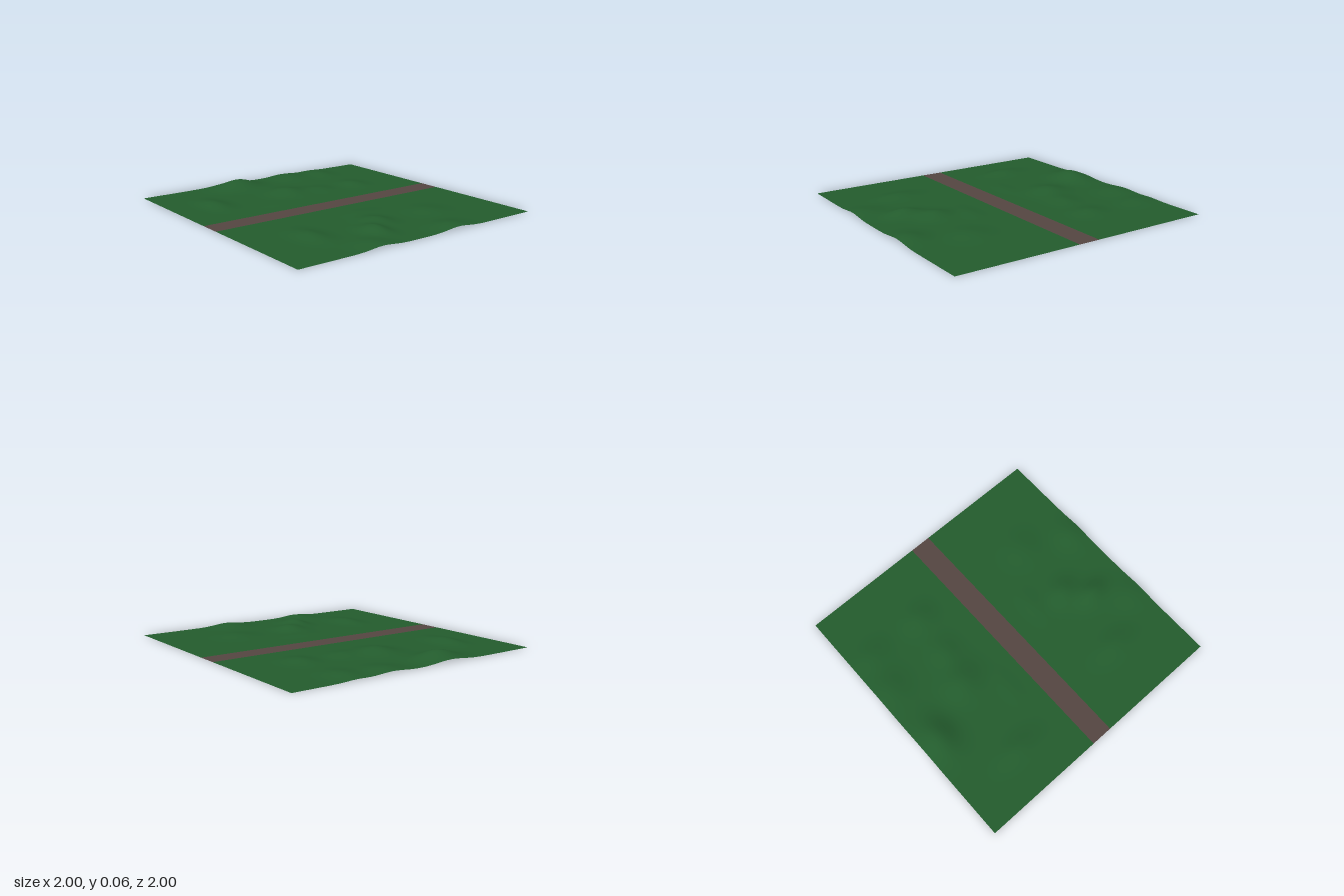
import * as THREE from 'three';

// Hills: x, z, height, x radius, z radius
const HILLS = [
  [-0.87, 0.25, 0.062, 0.12, 0.16],
  [-0.90, -0.25, 0.026, 0.13, 0.14],
  [-0.85, -0.53, 0.022, 0.14, 0.10],
  [-0.48, 0.05, 0.038, 0.14, 0.13],
  [-0.50, 0.68, 0.028, 0.16, 0.09],
  [-0.42, -0.20, 0.020, 0.10, 0.12],
  [-0.40, -0.53, 0.024, 0.12, 0.10],
  [-0.22, 0.30, 0.008, 0.08, 0.15],
  [0.54, 0.02, 0.036, 0.12, 0.10],
  [0.70, 0.17, 0.044, 0.12, 0.08],
  [0.92, 0.36, 0.022, 0.14, 0.12],
  [0.92, -0.30, 0.028, 0.12, 0.13],
  [0.54, 0.57, 0.026, 0.16, 0.09],
  [0.55, -0.45, 0.018, 0.14, 0.14],
  [0.30, -0.05, 0.009, 0.08, 0.15],
];

function height(x, z) {
  let h = 0;
  for (const [cx, cz, top, rx, rz] of HILLS) {
    h += top * Math.exp(-(((x - cx) / rx) ** 2) - ((z - cz) / rz) ** 2);
  }
  // Level off beside the road and at the front and back edges
  const side = THREE.MathUtils.smoothstep(Math.abs(x), 0.12, 0.3);
  const ends = 1 - THREE.MathUtils.smoothstep(Math.abs(z), 0.7, 0.87);
  return h * side * ends;
}

// A level sheet from x0 to x1, raised by the height rule
function sheet(name, x0, x1, columns, rows, material) {
  const geometry = new THREE.PlaneGeometry(x1 - x0, 2, columns, rows);
  geometry.rotateX(-Math.PI / 2);
  geometry.translate((x0 + x1) / 2, 0, 0);
  const p = geometry.attributes.position;
  for (let i = 0; i < p.count; i++) p.setY(i, height(p.getX(i), p.getZ(i)));
  geometry.computeVertexNormals();
  const mesh = new THREE.Mesh(geometry, material);
  mesh.name = name;
  return mesh;
}

export function createModel() {
  const grass = new THREE.MeshStandardMaterial({ color: 0x235c2d, side: THREE.DoubleSide });
  grass.name = 'grass green';
  const dirt = new THREE.MeshStandardMaterial({ color: 0x554641, side: THREE.DoubleSide });
  dirt.name = 'road brown';

  const group = new THREE.Group();
  group.name = 'terrain';
  group.add(
    sheet('rightField', -1, -0.08, 26, 56, grass),
    sheet('road', -0.08, 0.08, 1, 1, dirt),
    sheet('leftField', 0.08, 1, 26, 56, grass),
  );
  return group;
}
